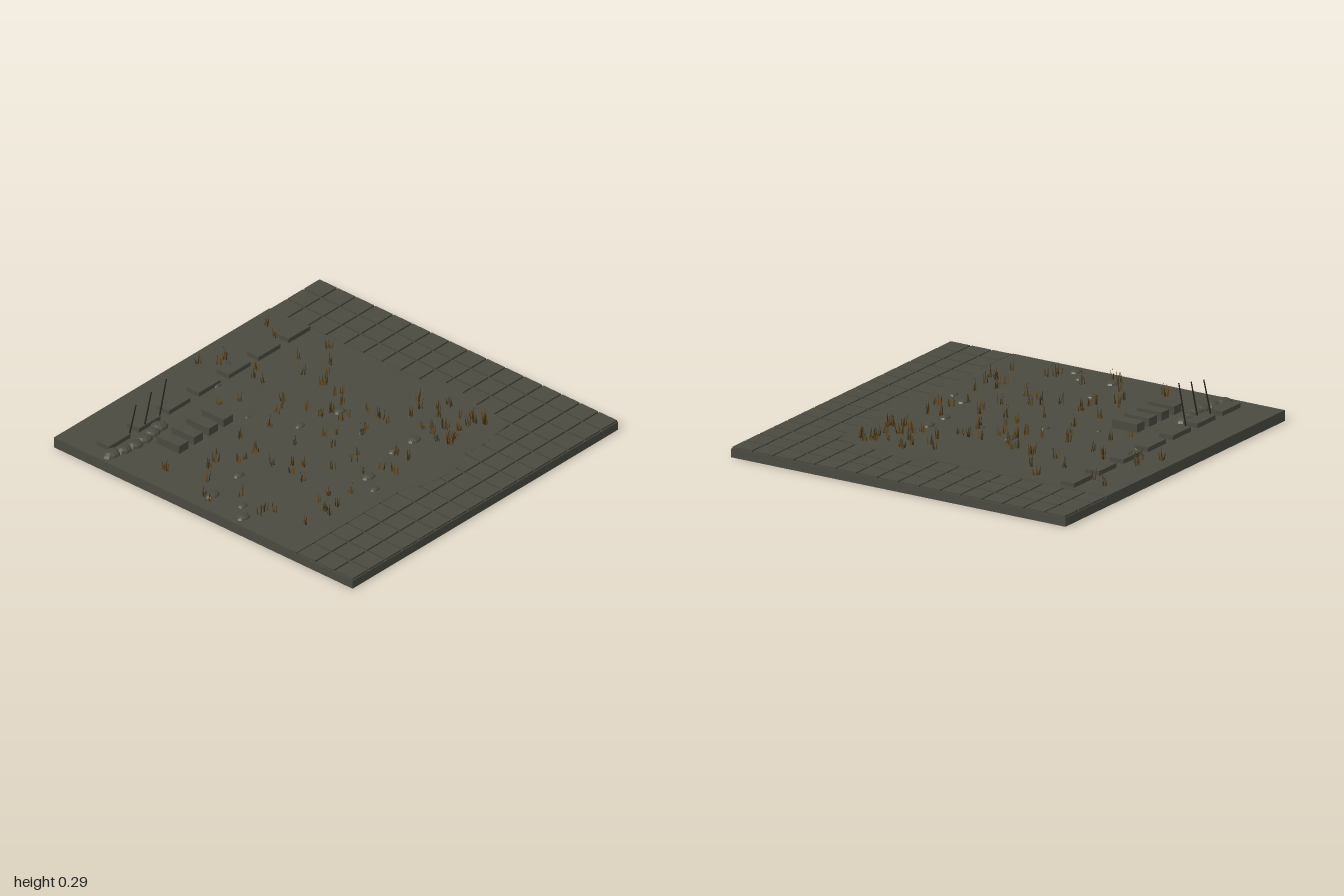
import * as THREE from 'three';
import { mergeGeometries } from 'three/addons/utils/BufferGeometryUtils.js';

const mat = (name, color, extra = {}) => Object.assign(new THREE.MeshStandardMaterial({ color, ...extra }), { name });

// Small seeded random generator
function seeded(seed) {
  return () => {
    seed = (seed * 1664525 + 1013904223) >>> 0;
    return seed / 4294967296;
  };
}

export function createModel() {
  const group = new THREE.Group();
  const stone = mat('darkStone', 0x4a4a40, { flatShading: true });
  const metal = mat('blackMetal', 0x24241f);
  const dryGrass = mat('dryGrass', 0x66491c, { side: THREE.DoubleSide });
  const darkGrass = mat('darkGrass', 0x3b2f18, { side: THREE.DoubleSide });
  const add = (name, geometry, material) => {
    const mesh = new THREE.Mesh(geometry, material);
    mesh.name = name;
    group.add(mesh);
    return mesh;
  };
  const box = (w, h, d, x, y, z) => new THREE.BoxGeometry(w, h, d).translate(x, y + h / 2, z);
  const GROUND = 0.057;

  // Base slab
  add('base', box(2, 0.046, 2, 0, 0, 0), stone);

  // Paving along the front and the left edge, three tiles deep
  const tiles = [];
  for (let i = 0; i < 16; i++) {
    for (let j = 0; j < 16; j++) {
      if (i < 13 && j < 13) continue;
      tiles.push(box(0.115, 0.011, 0.115, -0.9375 + i * 0.125, 0.045, -0.9375 + j * 0.125));
    }
  }
  add('pavingTiles', mergeGeometries(tiles), stone);

  // Earth, spilling over part of the paving
  const outline = [
    [-1, -1], [0.625, -1], [0.625, 0.03], [0.66, 0.06], [0.69, 0.13], [0.68, 0.24], [0.64, 0.3],
    [0.63, 0.5], [0.61, 0.62], [0.5, 0.63], [0.4, 0.65], [0.25, 0.64], [0.2, 0.69], [0.05, 0.7],
    [-0.1, 0.68], [-0.2, 0.63], [-1, 0.625],
  ];
  const earth = new THREE.Shape(outline.map(([x, z]) => new THREE.Vector2(x, -z)));
  const earthGeo = new THREE.ExtrudeGeometry(earth, { depth: GROUND - 0.045, bevelEnabled: false });
  add('earth', earthGeo.rotateX(-Math.PI / 2).translate(0, 0.045, 0), stone);

  // Row of low slabs at the back
  for (let i = 0; i < 7; i++) {
    add('lowSlab', box(0.163, 0.028, 0.082, -0.828 + i * 0.2255, 0.053, -0.752), stone);
  }

  // Four crates
  for (let i = 0; i < 4; i++) {
    add('crate', box(0.07, 0.048, 0.15, -0.664 + i * 0.112, 0.053, -0.504), stone);
  }

  // Flattened stones: x, z, radius, height
  const lump = (name, x, z, r, h) => {
    const mesh = add(name, new THREE.SphereGeometry(1, 10, 6), stone);
    mesh.scale.set(r, h, r * 0.78);
    mesh.position.set(x, GROUND, z);
  };
  [
    [-0.93, 0.205, 0.041], [-0.85, 0.13, 0.03], [-0.875, -0.05, 0.043], [-0.65, -0.075, 0.035],
    [-0.1, -0.155, 0.03], [0.135, -0.095, 0.036], [0.06, 0.12, 0.022], [0.035, 0.355, 0.035],
    [0.18, 0.36, 0.042], [-0.23, 0.42, 0.042], [-0.295, 0.52, 0.03], [-0.21, -0.405, 0.018],
    [-0.09, -0.715, 0.025],
  ].forEach(([x, z, r]) => lump('stone', x, z, r, r * 0.4));

  // Curved rubble bank
  [
    [-0.927, -0.68, 0.056], [-0.855, -0.662, 0.052], [-0.785, -0.65, 0.052],
    [-0.715, -0.65, 0.052], [-0.645, -0.66, 0.052], [-0.578, -0.672, 0.055],
  ].forEach(([x, z, r]) => lump('rubble', x, z, r, 0.026));

  // Leaning rods
  const up = new THREE.Vector3(0, 1, 0);
  [[-0.75, 0.24], [-0.635, 0.262], [-0.522, 0.287]].forEach(([x, top]) => {
    const a = new THREE.Vector3(x, 0.05, -0.722);
    const b = new THREE.Vector3(x + 0.033, top, -0.701);
    const dir = b.clone().sub(a);
    const rod = add('rod', new THREE.CylinderGeometry(0.0035, 0.0045, dir.length(), 6), metal);
    rod.position.copy(a).add(b).multiplyScalar(0.5);
    rod.quaternion.setFromUnitVectors(up, dir.normalize());
  });

  // Grass tufts made of thin upright blades
  const rnd = seeded(77);
  const blades = [[], []];
  const blade = (x, z) => {
    const h = 0.035 + rnd() * 0.04;
    const w = 0.003 + rnd() * 0.003;
    const lean = (rnd() - 0.5) * 0.025;
    const geo = new THREE.BufferGeometry();
    geo.setAttribute('position', new THREE.Float32BufferAttribute([-w, 0, 0, w, 0, 0, lean, h, 0], 3));
    geo.computeVertexNormals();
    geo.rotateY(rnd() * Math.PI).translate(x, GROUND - 0.002, z);
    blades[rnd() < 0.6 ? 0 : 1].push(geo);
  };
  const tufts = (count, x0, x1, z0, z1) => {
    for (let i = 0; i < count; i++) {
      const x = x0 + rnd() * (x1 - x0);
      const z = z0 + rnd() * (z1 - z0);
      for (let k = 0; k < 6; k++) blade(x + (rnd() - 0.5) * 0.025, z + (rnd() - 0.5) * 0.025);
    }
  };
  tufts(72, -0.94, 0.5, -0.4, 0.53);
  tufts(20, 0.24, 0.58, 0.25, 0.54);
  tufts(16, -0.9, 0.58, -0.93, -0.4);
  add('dryGrass', mergeGeometries(blades[0]), dryGrass);
  add('darkGrass', mergeGeometries(blades[1]), darkGrass);

  return group;
}
